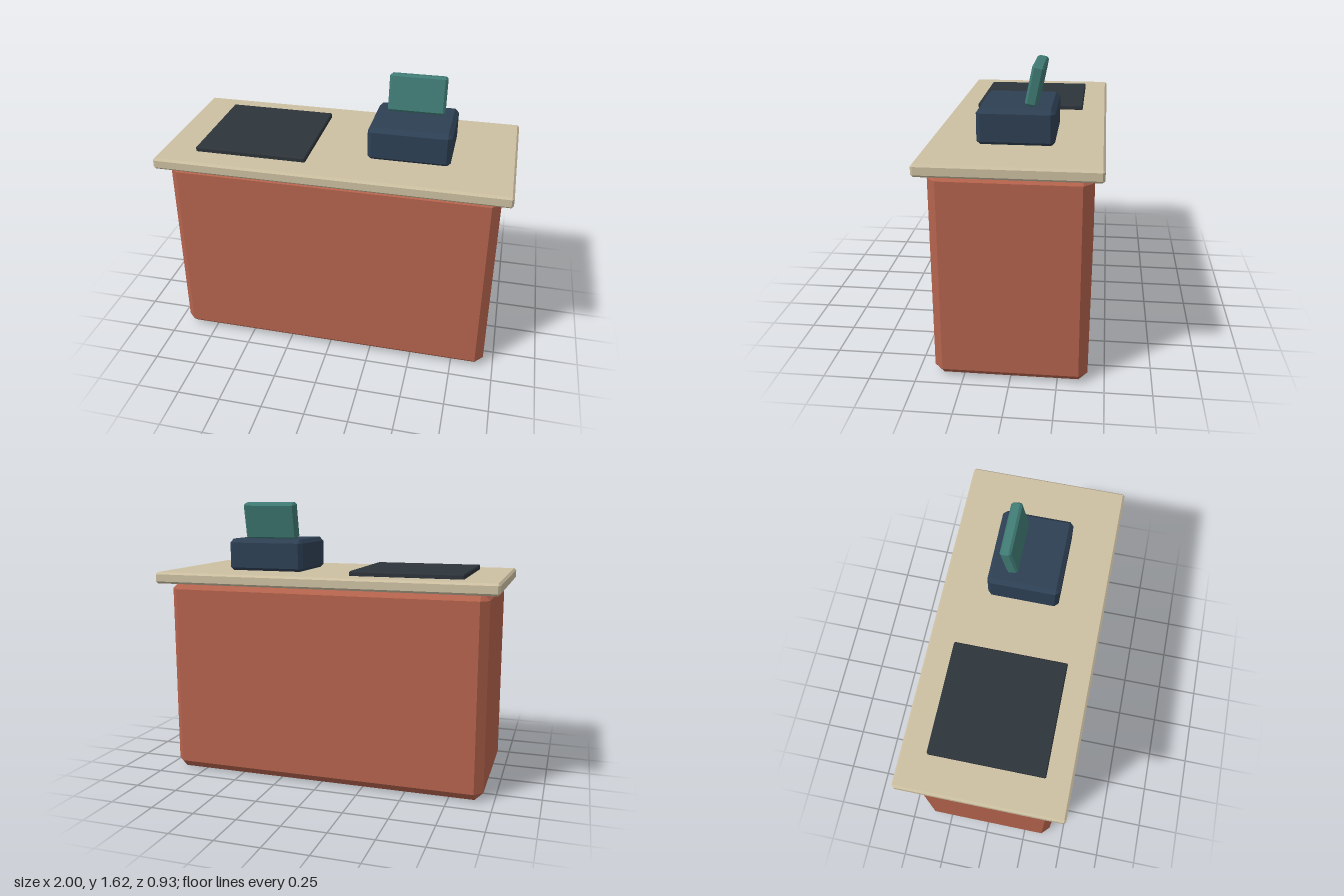
import * as THREE from 'three';
import { ConvexGeometry } from 'three/addons/geometries/ConvexGeometry.js';

function material(name, color) {
  const m = new THREE.MeshStandardMaterial({ color });
  m.name = name;
  return m;
}

// Box with flat chamfers of width c on every edge
function chamferBox(w, h, d, c) {
  const half = [w / 2, h / 2, d / 2];
  const points = [];
  for (const sx of [-1, 1]) for (const sy of [-1, 1]) for (const sz of [-1, 1]) {
    const sign = [sx, sy, sz];
    // each corner becomes a small triangle: one point on each adjoining face
    for (let face = 0; face < 3; face++) {
      const p = half.map((v, axis) => sign[axis] * (axis === face ? v : v - c));
      points.push(new THREE.Vector3(...p));
    }
  }
  return new ConvexGeometry(points);
}

export function createModel() {
  const group = new THREE.Group();
  group.name = 'checkoutCounter';

  const terracotta = material('terracotta', 0xb5634d);
  const sand = material('sand', 0xcdc0a2);
  const charcoal = material('charcoal', 0x2d343a);
  const navy = material('navy', 0x2e4054);
  const teal = material('teal', 0x407b75);

  function add(name, mat, size, chamfer, position, tilt = 0) {
    const mesh = new THREE.Mesh(chamferBox(...size, chamfer), mat);
    mesh.name = name;
    mesh.position.set(...position);
    mesh.rotation.x = tilt;
    group.add(mesh);
  }

  // Cabinet and overhanging top
  add('cabinet', terracotta, [1.88, 1.158, 0.82], 0.047, [0, 0.579, 0]);
  add('countertop', sand, [2, 0.066, 0.934], 0.012, [0, 1.181, 0]);

  // Mat on the right half of the top
  add('mat', charcoal, [0.645, 0.032, 0.645], 0.006, [-0.472, 1.225, 0]);

  // Register with its tilted screen
  add('registerBase', navy, [0.467, 0.195, 0.41], 0.023, [0.41, 1.305, 0]);
  add('registerScreen', teal, [0.327, 0.215, 0.065], 0.012, [0.41, 1.51, -0.093], -0.2);

  return group;
}
